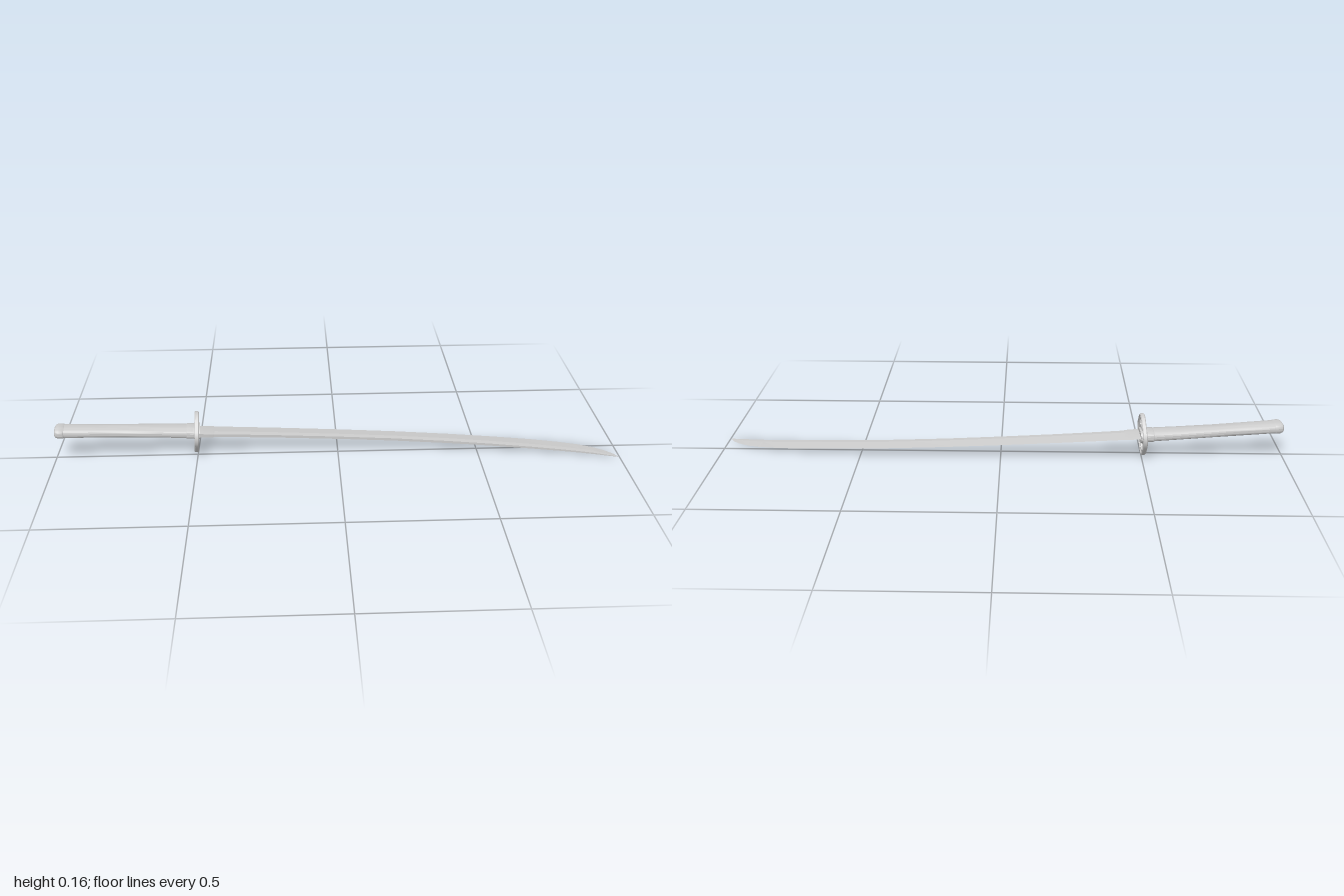
import * as THREE from 'three';
import { toCreasedNormals } from 'three/addons/utils/BufferGeometryUtils.js';

const material = new THREE.MeshStandardMaterial({ color: 0xcccccc });

// Skin a row of closed rings running along x; each ring turns from +y towards +z.
function loft(rings, crease = 0.6) {
  const n = rings[0].length, index = [], last = (rings.length - 1) * n;
  for (let i = 0; i < rings.length - 1; i++) {
    for (let j = 0; j < n; j++) {
      const a = i * n + j, d = i * n + (j + 1) % n, b = a + n, c = d + n;
      index.push(a, d, c, a, c, b);
    }
  }
  for (let j = 1; j < n - 1; j++) index.push(0, j + 1, j, last, last + j, last + j + 1);
  const geometry = new THREE.BufferGeometry();
  geometry.setAttribute('position', new THREE.Float32BufferAttribute(rings.flat(2), 3));
  geometry.setIndex(index);
  return toCreasedNormals(geometry, crease);
}

// Rounded oval ring across the handle; the handle bends gently towards -z near the guard.
const gripZ = x => 0.005 - 0.032 * Math.sin((x + 1) / 0.5 * Math.PI / 2 * 0.75) / Math.sin(Math.PI * 0.375);
function oval(x, halfHeight, halfDepth, sides = 24) {
  const soft = v => Math.sign(v) * Math.abs(v) ** 0.8;
  return Array.from({ length: sides }, (_, j) => {
    const a = (j + 0.5) / sides * Math.PI * 2;
    const z = halfDepth * soft(Math.sin(a));
    return [x + 0.065 * z, halfHeight * soft(Math.cos(a)), gripZ(x) + z];
  });
}

// Blade ring: flat spine on +z, ridge lines, sharp edge on -z.
function bladeRing([x, edge, spine, t]) {
  const ridge = spine - (spine - edge) * 0.3;
  return [[x, t, ridge], [x, t * 0.8, spine], [x, -t * 0.8, spine], [x, -t, ridge], [x, 0, edge]];
}

// Four-lobed guard outline
function guardOutline(scale) {
  return Array.from({ length: 32 }, (_, i) => {
    const a = i / 32 * Math.PI * 2;
    const r = scale * (0.0705 + 0.005 * Math.cos(4 * a));
    return new THREE.Vector2(r * Math.cos(a), r * 1.02 * Math.sin(a));
  });
}

// Curved window in the guard, above (1) or below (-1) the handle
function windowPath(side) {
  const points = [];
  for (const [r, half, dir] of [[0.034, 0.62, 1], [0.042, 0.68, -1], [0.052, 0.55, -1], [0.058, 0.35, -1]]) {
    if (r === 0.034) for (let i = -4; i <= 4; i++) points.push([r, half * i / 4]);
    else points.push([r, half]);
  }
  for (let i = 1; i >= -1; i--) points.push([0.058, 0.17 * i]);
  points.push([0.058, -0.35], [0.052, -0.55], [0.042, -0.68]);
  return new THREE.Path(points.map(([r, a]) => new THREE.Vector2(r * Math.sin(a), side * r * Math.cos(a))));
}

function plate(outline, holes, depth, bevel) {
  const shape = new THREE.Shape(outline);
  shape.holes.push(...holes);
  const geometry = new THREE.ExtrudeGeometry(shape, {
    depth: depth - 2 * bevel, bevelEnabled: bevel > 0, bevelThickness: bevel,
    bevelSize: bevel, bevelOffset: -bevel, bevelSegments: 1,
  });
  geometry.translate(0, 0, bevel - depth / 2);
  return toCreasedNormals(geometry, 0.5);
}

export function createModel() {
  const model = new THREE.Group();
  const sword = new THREE.Group();
  sword.name = 'sword';
  // The sword leans, resting on its tip and guard
  sword.rotation.z = -0.053;
  sword.position.y = 0.053;
  model.add(sword);
  const add = (name, geometry, parent = sword) => {
    const mesh = new THREE.Mesh(geometry, material);
    mesh.name = name;
    parent.add(mesh);
    return mesh;
  };

  // Curved blade: x, cutting edge z, spine z, half thickness
  add('blade', loft([
    [-0.5, -0.066, 0.01, 0.0065], [-0.35, -0.069, 0.004, 0.0063], [-0.2, -0.071, 0, 0.006],
    [0, -0.071, -0.002, 0.0058], [0.2, -0.068, 0, 0.0055], [0.4, -0.059, 0.009, 0.0052],
    [0.55, -0.048, 0.021, 0.005], [0.7, -0.033, 0.037, 0.0045], [0.8, -0.017, 0.05, 0.004],
    [0.87, -0.001, 0.061, 0.0035], [0.92, 0.018, 0.071, 0.003], [0.96, 0.043, 0.081, 0.002],
    [0.985, 0.067, 0.087, 0.0012], [0.997, 0.088, 0.091, 0.0004],
  ].map(bladeRing), 0.12));

  // Collar at the foot of the blade
  add('bladeCollar', loft([
    [-0.5, -0.069, 0.014, 0.009], [-0.45, -0.069, 0.011, 0.0078], [-0.44, -0.068, 0.009, 0.0068],
  ].map(bladeRing), 0.3));

  // Guard: pierced web with a raised rim
  const guard = new THREE.Group();
  guard.name = 'guard';
  guard.position.set(-0.503, 0, -0.02);
  guard.rotation.y = Math.PI / 2 + 0.06;
  sword.add(guard);
  add('guardWeb', plate(guardOutline(0.96), [windowPath(1), windowPath(-1)], 0.009, 0), guard);
  add('guardRim', plate(guardOutline(1), [new THREE.Path(guardOutline(0.9))], 0.016, 0.003), guard);

  // Washers on both faces of the guard
  for (const x of [-0.51, -0.496]) {
    add('washer', loft([oval(x - 0.004, 0.023, 0.041), oval(x + 0.004, 0.023, 0.041)]));
  }

  // Handle, slightly waisted
  add('handle', loft([[-0.98, 0.019, 0.036], [-0.87, 0.0185, 0.0355], [-0.75, 0.018, 0.0355],
    [-0.63, 0.0185, 0.037], [-0.52, 0.0195, 0.039]].map(s => oval(...s))));
  add('ferrule', loft([[-0.54, 0.0195, 0.039], [-0.537, 0.021, 0.0405], [-0.514, 0.021, 0.0405]]
    .map(s => oval(...s))));

  // Domed end cap
  add('endCap', loft([[-0.998, 0.012, 0.027], [-0.994, 0.0175, 0.034], [-0.985, 0.0205, 0.038],
    [-0.968, 0.0205, 0.038], [-0.965, 0.019, 0.036]].map(s => oval(...s))));

  return model;
}
